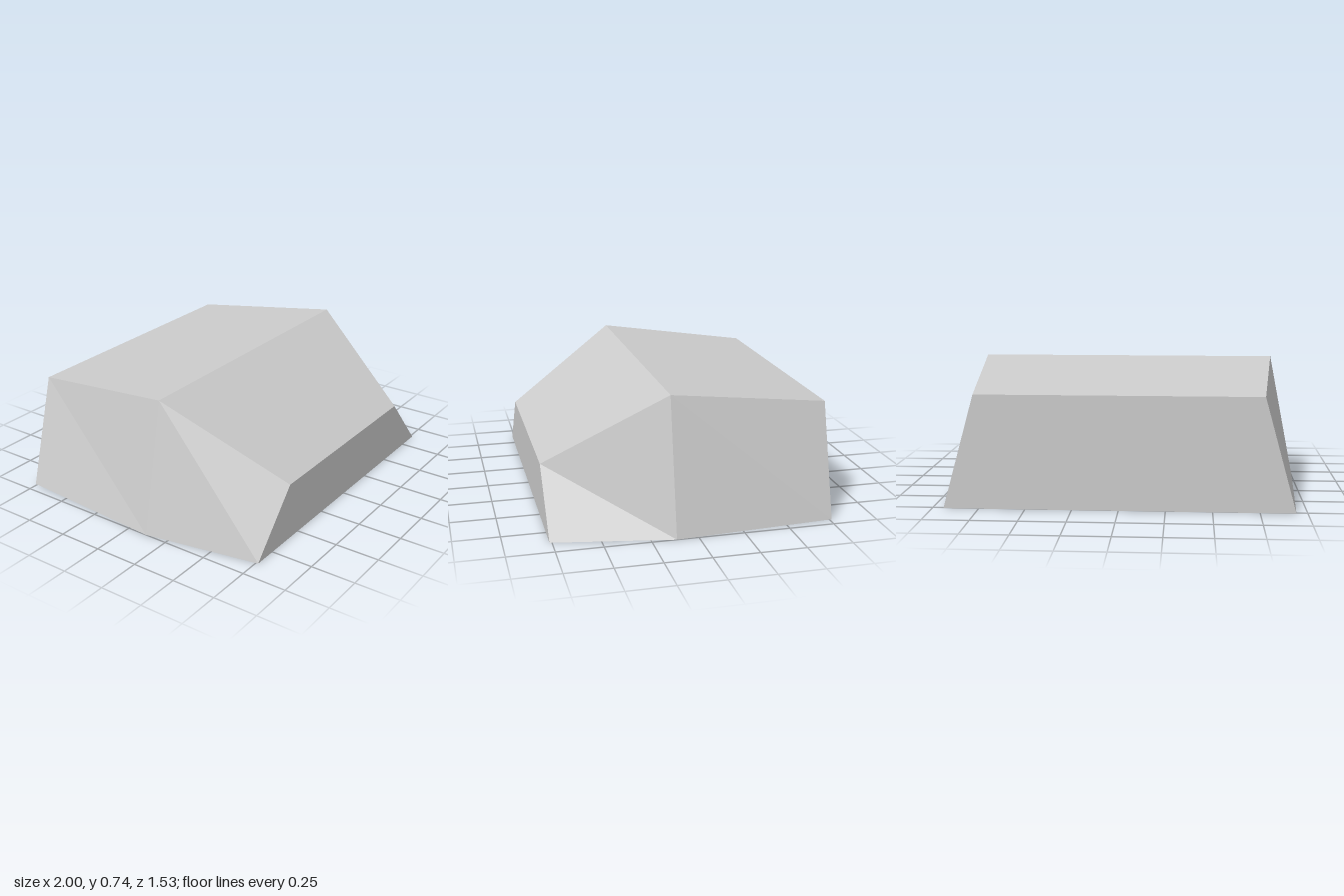
import * as THREE from 'three';

// Cross-sections from back to front: z, half width at the base, half width at the top, height
const SECTIONS = [
  { z: -0.763, base: 0.94, top: 0.767, height: 0.618 },
  { z: 0.118, base: 1.0, top: 0.853, height: 0.735 },
  { z: 0.763, base: 0.883, top: 0.59, height: 0.326 },
];

// Joins four-cornered sections into a closed, faceted solid
function loftGeometry(sections) {
  const positions = sections.flatMap(({ z, base, top, height }) => [
    -base, 0, z, -top, height, z, top, height, z, base, 0, z,
  ]);
  const index = [0, 1, 2, 0, 2, 3]; // back cap
  for (let s = 0; s < sections.length - 1; s++) {
    const rear = s * 4, front = rear + 4;
    for (let k = 0; k < 4; k++) {
      const n = (k + 1) % 4;
      index.push(rear + k, front + k, rear + n, front + k, front + n, rear + n);
    }
  }
  const f = (sections.length - 1) * 4;
  index.push(f, f + 3, f + 2, f, f + 2, f + 1); // front cap

  const indexed = new THREE.BufferGeometry();
  indexed.setAttribute('position', new THREE.Float32BufferAttribute(positions, 3));
  indexed.setIndex(index);
  const geometry = indexed.toNonIndexed(); // separate corners keep the facets flat
  geometry.computeVertexNormals();
  return geometry;
}

export function createModel() {
  const group = new THREE.Group();
  group.name = 'facetedBlock';

  const lightGrey = new THREE.MeshStandardMaterial({ color: 0xcccccc });
  lightGrey.name = 'light grey';

  const body = new THREE.Mesh(loftGeometry(SECTIONS), lightGrey);
  body.name = 'body';
  group.add(body);
  return group;
}
